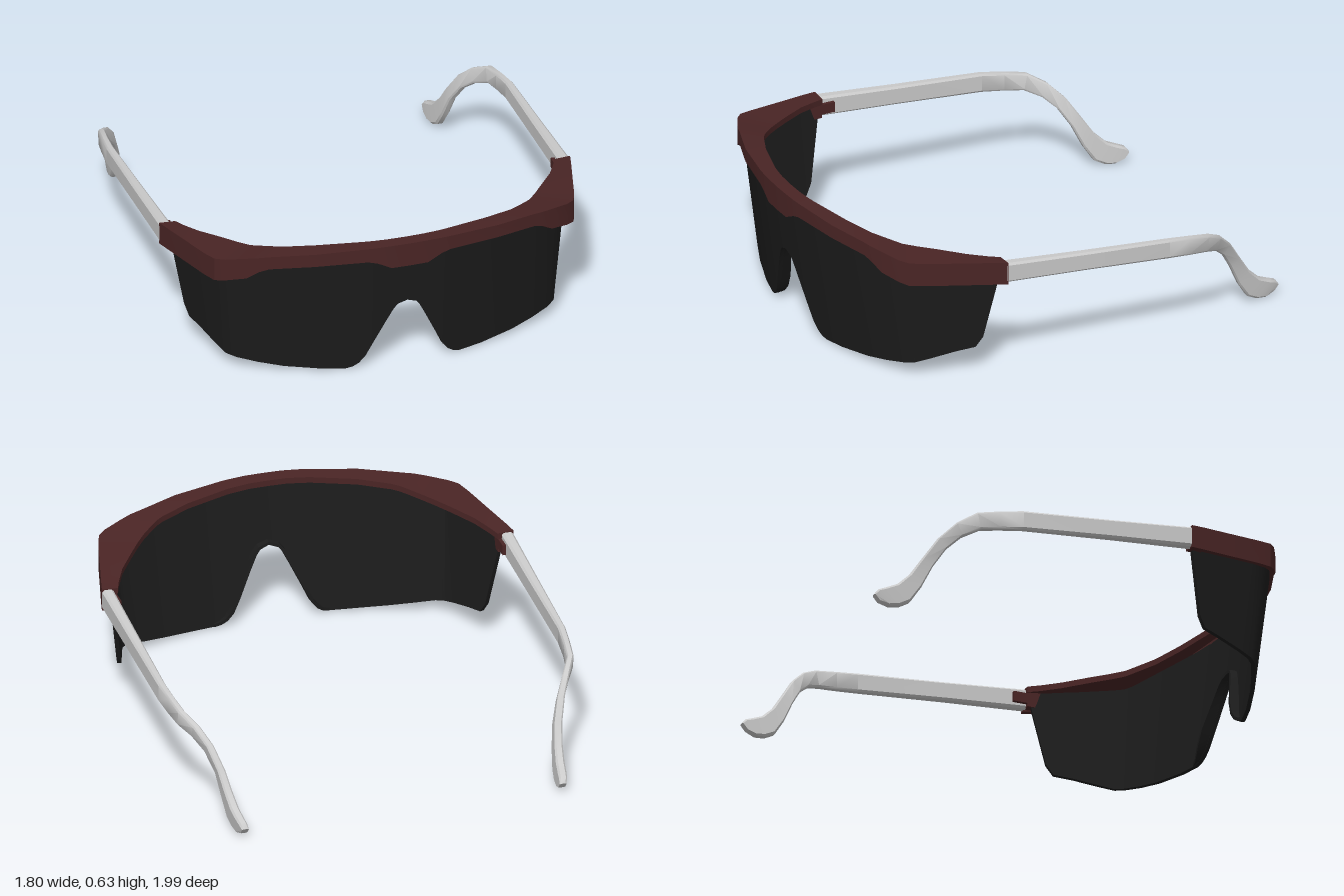
import * as THREE from 'three';
import { toCreasedNormals } from 'three/addons/utils/BufferGeometryUtils.js';

const V = (x, y, z) => new THREE.Vector3(x, y, z);
const material = (color) => new THREE.MeshStandardMaterial({ color, roughness: 0.6 });

// Joins equal-sized rings into a capped solid; caps fan out from ring point 0.
function loft(rings, crease = 0.5) {
  const n = rings[0].length, last = rings.length - 1;
  const tris = [];
  for (let i = 0; i < last; i++) {
    for (let j = 0; j < n; j++) {
      const k = (j + 1) % n;
      const [a, b, c, d] = [rings[i][j], rings[i][k], rings[i + 1][k], rings[i + 1][j]];
      tris.push([a, b, c], [a, c, d]);
    }
  }
  for (let j = 1; j < n - 1; j++) {
    tris.push([rings[0][0], rings[0][j + 1], rings[0][j]]);
    tris.push([rings[last][0], rings[last][j], rings[last][j + 1]]);
  }
  // Turn the faces outward
  const volume = tris.reduce((s, [a, b, c]) => s + a.dot(b.clone().cross(c)), 0);
  if (volume < 0) tris.forEach((t) => t.reverse());
  const geometry = new THREE.BufferGeometry().setFromPoints(tris.flat());
  return toCreasedNormals(geometry, crease);
}

// Continues a half table (from x = 0 to the left end) over to the right end.
const mirrorRows = (rows, xCols) => [
  ...rows.slice(1).reverse().map((r) => r.map((v, i) => (xCols.includes(i) ? -v : v))),
  ...rows,
];

// Brow frame: L-shaped section with a front wall and a deck
// outer x, outer z, inner x, inner z, top y, bottom y
const FRAME = [
  [0, 0.99, 0, 0.925, 0.627, 0.52],
  [0.08, 0.988, 0.08, 0.923, 0.627, 0.52],
  [0.14, 0.983, 0.14, 0.915, 0.625, 0.55],
  [0.18, 0.978, 0.18, 0.908, 0.624, 0.56],
  [0.4, 0.935, 0.37, 0.855, 0.612, 0.553],
  [0.58, 0.872, 0.5, 0.8, 0.597, 0.538],
  [0.62, 0.86, 0.53, 0.78, 0.593, 0.525],
  [0.67, 0.837, 0.56, 0.755, 0.586, 0.49],
  [0.75, 0.797, 0.61, 0.71, 0.573, 0.472],
  [0.787, 0.765, 0.65, 0.66, 0.567, 0.462],
  [0.81, 0.7, 0.7, 0.59, 0.56, 0.457],
  [0.85, 0.55, 0.77, 0.49, 0.547, 0.445],
  [0.885, 0.42, 0.81, 0.41, 0.536, 0.435],
  [0.9, 0.36, 0.83, 0.36, 0.53, 0.43],
];

function frameGeometry() {
  return loft(mirrorRows(FRAME, [0, 2]).map(([xo, zo, xi, zi, top, bot]) => {
    const t = 0.024 / Math.hypot(xi - xo, zi - zo);
    const xw = xo + (xi - xo) * t, zw = zo + (zi - zo) * t;
    return [
      V(xw, top - 0.03, zw), V(xi, top - 0.03, zi), V(xi, top - 0.004, zi),
      V(xo, top, zo), V(xo, bot, zo), V(xw, bot, zw),
    ];
  }));
}

// Shield lens: x, z at the top, x, z at the base, height of the lower edge
const NOTCH = [
  [0, 0.33], [0.04, 0.316], [0.057, 0.295], [0.09, 0.23], [0.14, 0.125], [0.17, 0.06],
  [0.195, 0.028], [0.22, 0.011], [0.25, 0.003], [0.35, 0.008], [0.5, 0.022], [0.6, 0.038],
];
const LENS = [
  ...NOTCH.map(([x, y]) => [x, 0.978 - 0.37 * x * x, x, 0.907 - 0.37 * x * x, y]),
  [0.7, 0.797, 0.68, 0.735, 0.055],
  [0.74, 0.765, 0.715, 0.7, 0.062],
  [0.768, 0.7, 0.737, 0.64, 0.077],
  [0.82, 0.55, 0.765, 0.54, 0.103],
  [0.862, 0.4, 0.785, 0.48, 0.118],
  [0.872, 0.362, 0.79, 0.465, 0.165],
];

function lensPoint([xt, zt, xb, zb], y) {
  const t = y / 0.55;
  return V(xb + (xt - xb) * t, y, zb + (zt - zb) * t);
}

function lensGeometry() {
  const rows = mirrorRows(LENS, [0, 2]);
  return loft(rows.map((row, i) => {
    const a = rows[Math.max(i - 1, 0)], b = rows[Math.min(i + 1, rows.length - 1)];
    const inward = V(b[1] - a[1], 0, a[0] - b[0]).setLength(0.018);
    const top = lensPoint(row, 0.585 - 0.13 * (0.98 - row[1]));
    const bottom = lensPoint(row, row[4]);
    return [top, bottom, bottom.clone().add(inward), top.clone().add(inward)];
  }));
}

// Nose rim: a flange running back from the edge of the notch
function noseRimGeometry() {
  const rows = mirrorRows(LENS.slice(0, 9), [0, 2]);
  return loft(rows.map((row, i) => {
    const a = rows[Math.max(i - 1, 0)], b = rows[Math.min(i + 1, rows.length - 1)];
    const up = V(a[4] - b[4], b[0] - a[0], 0).setLength(0.014);
    const x = Math.abs(row[0]);
    const depth = x < 0.15 ? 0.025 + 0.13 * x : Math.max(0.004, 0.45 * (0.25 - x));
    const p = lensPoint(row, row[4]).add(V(0, 0, -0.012));
    const q = p.clone().add(V(0, 0, -depth - 0.006));
    return [p, q, q.clone().add(up), p.clone().add(up)];
  }));
}

// Temple arm: upper edge z, y, lower edge z, y, centre x, width
const ARM = [
  [0.365, 0.525, 0.365, 0.437, 0.874, 0.05],
  [0, 0.492, 0, 0.41, 0.874, 0.042],
  [-0.4, 0.46, -0.4, 0.376, 0.874, 0.032],
  [-0.5, 0.445, -0.5, 0.364, 0.864, 0.03],
  [-0.6, 0.427, -0.585, 0.353, 0.85, 0.03],
  [-0.675, 0.385, -0.65, 0.325, 0.808, 0.032],
  [-0.74, 0.32, -0.705, 0.275, 0.768, 0.032],
  [-0.8, 0.228, -0.755, 0.195, 0.737, 0.034],
  [-0.85, 0.152, -0.8, 0.1, 0.722, 0.036],
  [-0.905, 0.1, -0.845, 0.03, 0.712, 0.038],
  [-0.955, 0.078, -0.89, 0.006, 0.705, 0.038],
  [-0.985, 0.066, -0.935, 0, 0.7, 0.036],
  [-1, 0.045, -0.975, 0.015, 0.695, 0.03],
];
// Chamfered section: across, along (0 = lower edge, 1 = upper edge)
const SECTION = [
  [-0.5, 0.1], [-0.3, 0], [0.3, 0], [0.5, 0.1], [0.5, 0.9], [0.3, 1], [-0.3, 1], [-0.5, 0.9],
];

const armGeometry = (side) => loft(ARM.map(([zu, yu, zl, yl, x, w]) =>
  SECTION.map(([s, t]) => V(side * (x + s * w), yl + (yu - yl) * t, zl + (zu - zl) * t))), 0.65);

export function createModel() {
  const group = new THREE.Group();
  const frameMaterial = material(0x4a2525);
  const lensMaterial = material(0x1c1c1c);
  const armMaterial = material(0xcccccc);
  const add = (name, geometry, mat) => {
    const mesh = new THREE.Mesh(geometry, mat);
    mesh.name = name;
    group.add(mesh);
    return mesh;
  };

  add('browFrame', frameGeometry(), frameMaterial);
  add('shieldLens', lensGeometry(), lensMaterial);
  add('noseRim', noseRimGeometry(), lensMaterial);

  for (const [side, label] of [[1, 'left'], [-1, 'right']]) {
    add(`${label}Arm`, armGeometry(side), armMaterial);
    // Hinge block inside the frame end, with a small tab beside the arm
    add(`${label}HingeBlock`, new THREE.BoxGeometry(0.05, 0.075, 0.06), frameMaterial)
      .position.set(side * 0.858, 0.475, 0.392);
    add(`${label}HingeTab`, new THREE.BoxGeometry(0.016, 0.045, 0.09), frameMaterial)
      .position.set(side * 0.842, 0.475, 0.345);
  }
  return group;
}
